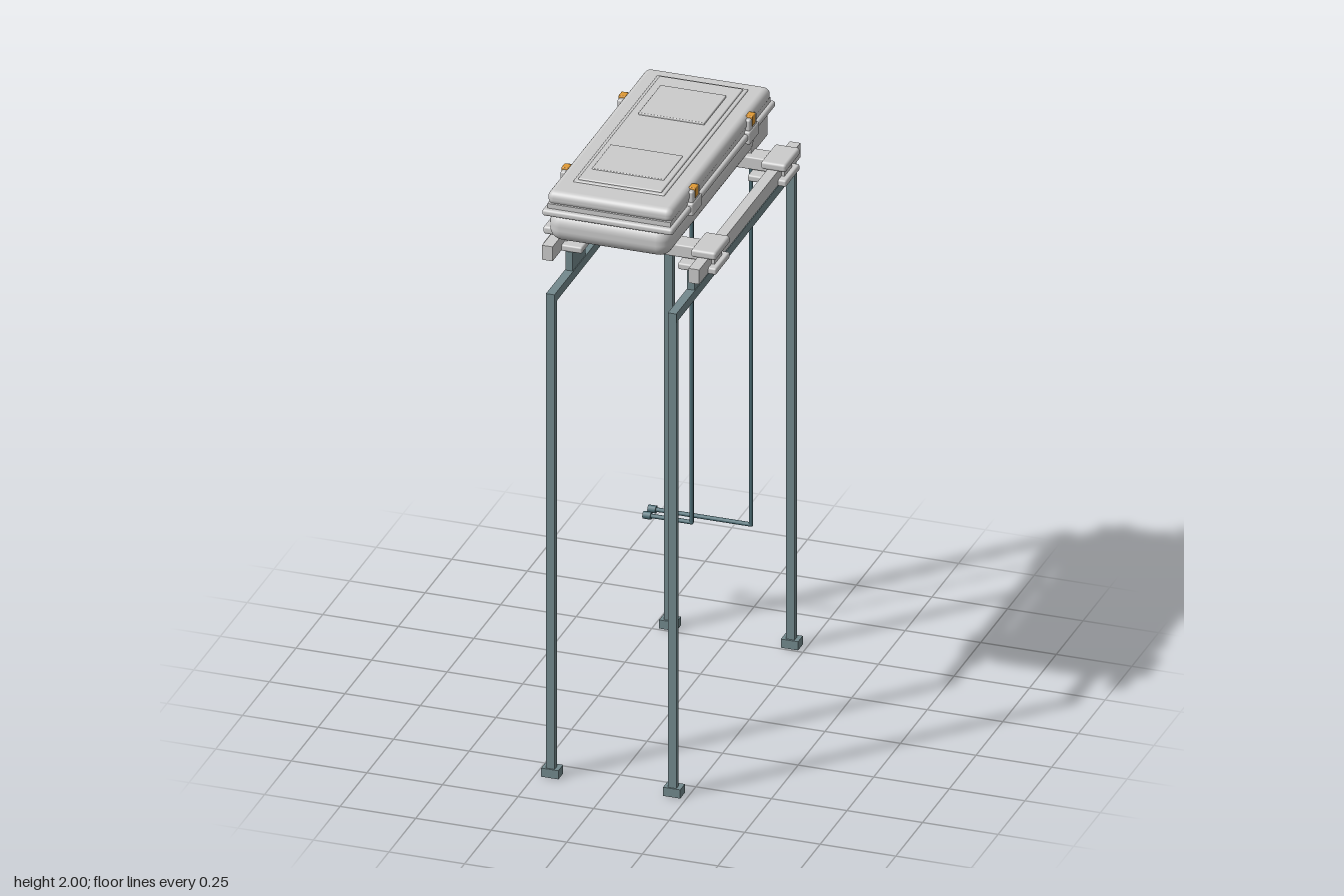
import * as THREE from 'three';
import { RoundedBoxGeometry } from 'three/addons/geometries/RoundedBoxGeometry.js';

const grey = new THREE.MeshStandardMaterial({ color: 0xcccccc });
const steel = new THREE.MeshStandardMaterial({ color: 0x73898d });
const cableMat = new THREE.MeshStandardMaterial({ color: 0x4f7078 });
const orange = new THREE.MeshStandardMaterial({ color: 0xe09a35 });

// Box given by its extents on each axis; r > 0 rounds the edges
function block(parent, name, [x0, x1], [y0, y1], [z0, z1], mat = grey, r = 0) {
  const s = [x1 - x0, y1 - y0, z1 - z0];
  const geo = r ? new RoundedBoxGeometry(...s, 4, r) : new THREE.BoxGeometry(...s);
  const mesh = new THREE.Mesh(geo, mat);
  mesh.position.set((x0 + x1) / 2, (y0 + y1) / 2, (z0 + z1) / 2);
  mesh.name = name;
  parent.add(mesh);
  return mesh;
}

// Cylinder between two points
function rod(parent, name, a, b, r, mat, sides = 14) {
  const p = new THREE.Vector3(...a), q = new THREE.Vector3(...b);
  const dir = q.clone().sub(p);
  const mesh = new THREE.Mesh(new THREE.CylinderGeometry(r, r, dir.length(), sides), mat);
  mesh.position.copy(p).add(q).multiplyScalar(0.5);
  mesh.quaternion.setFromUnitVectors(new THREE.Vector3(0, 1, 0), dir.normalize());
  mesh.name = name;
  parent.add(mesh);
}

const around = (c, w) => [c - w / 2, c + w / 2];
const mirrorX = (side, a, b) => (side > 0 ? [a, b] : [-b, -a]);
const clampZ = [0.348, -0.306];

// Two tall steel frames with feet and mounting plates
function buildStand() {
  const g = new THREE.Group();
  g.name = 'stand';
  for (const x of [-0.2, 0.203]) {
    block(g, 'topRail', around(x, 0.028), [1.652, 1.683], [-0.536, 0.59], steel);
    for (const z of [0.578, -0.526]) {
      block(g, 'leg', around(x, 0.028), [0.02, 1.655], around(z, 0.022), steel);
      block(g, 'foot', around(x, 0.057), [0, 0.03], around(z + (z > 0 ? -0.006 : -0.004), 0.044), steel);
    }
    for (const z of clampZ) block(g, 'mountingPlate', around(x, 0.024), [1.68, 1.748], around(z + 0.006, 0.12), steel);
  }
  return g;
}

// Side rails, cross bars and clamps carrying the case
function buildCarrier() {
  const g = new THREE.Group();
  g.name = 'carrier';
  for (const side of [1, -1]) {
    block(g, 'sideRail', mirrorX(side, 0.225, 0.26), [1.75, 1.8], [-0.448, 0.497]);
    for (const z of clampZ) {
      block(g, 'clampBase', mirrorX(side, 0.158, 0.286), [1.746, 1.768], around(z, 0.13), grey, 0.006);
      block(g, 'clampStem', mirrorX(side, 0.217, 0.27), [1.765, 1.805], around(z, 0.07));
      block(g, 'clampCap', mirrorX(side, 0.203, 0.286), [1.797, 1.824], around(z, 0.137), grey, 0.009);
    }
  }
  for (const z of clampZ) block(g, 'crossBar', [-0.22, 0.22], [1.772, 1.815], around(z, 0.067), grey, 0.005);
  return g;
}

// Rounded case with lid, raised panels and connector bay
function buildCase() {
  const g = new THREE.Group();
  g.name = 'case';
  block(g, 'tub', [-0.245, 0.16], [1.815, 1.917], [-0.328, 0.5], grey, 0.044);
  block(g, 'lowerFlange', [-0.258, 0.175], [1.907, 1.929], [-0.461, 0.507], grey, 0.009);
  block(g, 'seal', [-0.245, 0.162], [1.922, 1.945], [-0.445, 0.49]);
  block(g, 'lid', [-0.249, 0.166], [1.935, 1.984], [-0.446, 0.486], grey, 0.022);
  block(g, 'lidPanelStep', [-0.194, 0.108], [1.975, 1.988], [-0.394, 0.394], grey, 0.004);
  block(g, 'lidPanel', [-0.182, 0.095], [1.978, 1.993], [-0.381, 0.382], grey, 0.004);
  block(g, 'rearPlate', [-0.153, 0.065], [1.985, 2], [-0.308, -0.1], grey, 0.003);
  block(g, 'frontPlate', [-0.163, 0.076], [1.983, 1.996], [0.129, 0.308], grey, 0.003);

  // Open bay under the rear of the lid
  block(g, 'bayBackWall', [-0.235, 0.15], [1.815, 1.91], [-0.335, -0.3]);
  block(g, 'bayFloor', [-0.235, 0.15], [1.808, 1.816], [-0.452, -0.3]);
  for (const x of [-0.224, 0.139]) block(g, 'bayCheek', around(x, 0.022), [1.812, 1.91], [-0.452, -0.3]);

  // Latches on both long sides
  for (const side of [1, -1]) {
    const at = (a, b) => mirrorX(side, a, b).map((v) => v - 0.043);
    for (const z of [0.288, -0.245]) {
      block(g, 'latchBase', at(0.19, 0.224), [1.894, 1.938], around(z, 0.088), grey, 0.006);
      block(g, 'latchLever', at(0.198, 0.22), [1.93, 1.974], around(z, 0.066), grey, 0.006);
      block(g, 'latchClip', at(0.199, 0.222), [1.945, 1.981], around(z, 0.032), orange, 0.003);
    }
  }
  return g;
}

// Two cables that leave the bay, drop and turn sideways
function buildCables() {
  const g = new THREE.Group();
  g.name = 'cables';
  for (const [x, z] of [[0.047, -0.589], [-0.133, -0.542]]) {
    const y = 1.832, low = 0.37, r = 0.007;
    const pts = [[x, y, -0.33], [x, y, z], [x, low, z], [-0.272, low, z]];
    for (let i = 0; i < 3; i++) rod(g, 'cable', pts[i], pts[i + 1], r, cableMat, 12);
    for (const p of pts.slice(1, 3)) {
      const bend = new THREE.Mesh(new THREE.SphereGeometry(r, 12, 8), cableMat);
      bend.position.set(...p);
      bend.name = 'cableBend';
      g.add(bend);
    }
    rod(g, 'plug', [-0.292, low, z], [-0.266, low, z], 0.0125, cableMat);
    rod(g, 'socket', [x, y + 0.004, -0.33], [x, y + 0.004, -0.375], 0.02, grey, 20);
    rod(g, 'socketRing', [x, y, -0.375], [x, y, -0.395], 0.015, orange, 20);
    rod(g, 'socketNut', [x, y, -0.395], [x, y, -0.46], 0.012, cableMat);
  }
  return g;
}

export function createModel() {
  const model = new THREE.Group();
  model.name = 'caseOnStand';
  model.add(buildStand(), buildCarrier(), buildCase(), buildCables());
  return model;
}
